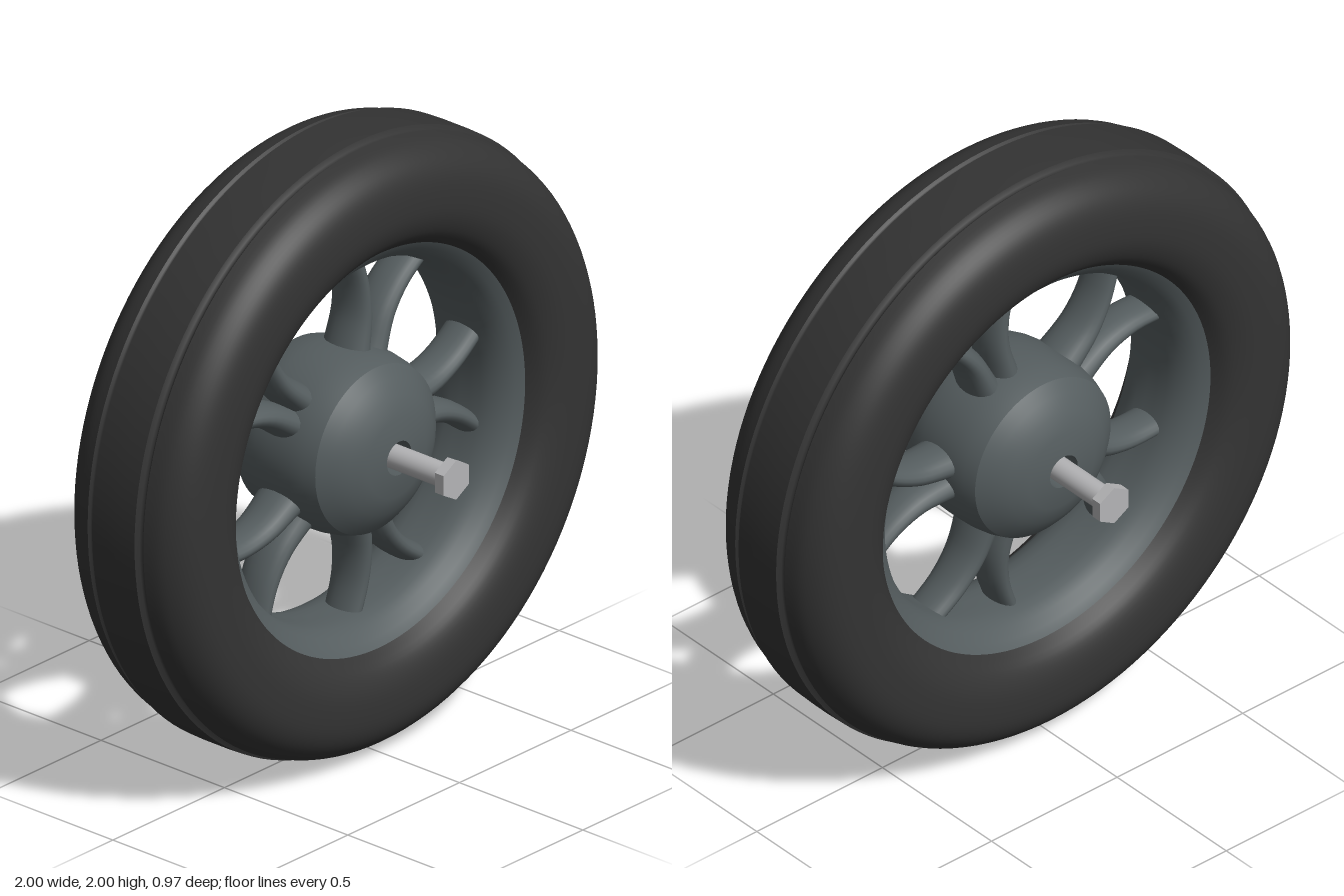
import * as THREE from 'three';
import { mergeVertices } from 'three/addons/utils/BufferGeometryUtils.js';

const rubber = new THREE.MeshStandardMaterial({ color: 0x333333 });
rubber.name = 'black rubber';
const iron = new THREE.MeshStandardMaterial({ color: 0x555d5f });
iron.name = 'dark grey metal';
const steel = new THREE.MeshStandardMaterial({ color: 0xb4b4b6 });
steel.name = 'light steel';

const pts = (list) => list.map(([r, z]) => new THREE.Vector2(r, z));

// Half profile (axis z > 0, listed from z = 0 outward) mirrored to a full one
function mirrored(half) {
  const back = half.map(([r, z]) => [r, -z]).reverse();
  return [...back, ...half];
}

// Turns a [radius, z] profile around the z axis; repeated points make creases
function turned(name, profile, material, segments = 96) {
  const geometry = new THREE.LatheGeometry(pts(profile), segments).rotateX(Math.PI / 2);
  const mesh = new THREE.Mesh(geometry, material);
  mesh.name = name;
  return mesh;
}

// Curved spoke with an oval section, flaring towards the hub
function spokeGeometry() {
  const path = new THREE.SplineCurve(
    pts([[0.03, 0.2], [0.049, 0.28], [0.071, 0.39], [0.062, 0.5], [0.025, 0.61]]));
  const geometry = new THREE.CylinderGeometry(1, 1, 1, 20, 16, true);
  const pos = geometry.attributes.position;
  for (let i = 0; i < pos.count; i++) {
    const t = pos.getY(i) + 0.5;
    const p = path.getPoint(t);
    const d = path.getTangent(t);
    const flare = (1 - t) ** 2;
    const side = pos.getX(i) * (0.033 + 0.03 * flare);
    const depth = pos.getZ(i) * (0.068 + 0.03 * flare);
    pos.setXYZ(i, p.x + d.y * side, p.y - d.x * side, depth);
  }
  geometry.deleteAttribute('uv');
  geometry.deleteAttribute('normal');
  const smooth = mergeVertices(geometry, 1e-5);
  smooth.computeVertexNormals();
  return smooth;
}

export function createModel() {
  const model = new THREE.Group();
  model.name = 'wheel';
  const wheel = new THREE.Group();
  wheel.name = 'wheelAssembly';
  wheel.position.y = 1;
  model.add(wheel);

  // Tyre: crowned tread, two grooves, rounded shoulders and side walls
  const shoulder = new THREE.SplineCurve(pts([
    [0.988, 0.113], [0.972, 0.168], [0.935, 0.215], [0.885, 0.242], [0.82, 0.25],
    [0.75, 0.245], [0.69, 0.218], [0.65, 0.17],
  ])).getPoints(28).map((p) => [p.x, p.y]);
  const tread = [
    [1, 0.03], [0.998, 0.086], [0.998, 0.086], [0.983, 0.093], [0.978, 0.1],
    [0.981, 0.107], [0.988, 0.113],
  ];
  wheel.add(turned('tyre', mirrored([...tread, ...shoulder]), rubber, 128));

  // Rim: inward bulging band closing the inside of the tyre
  const rimHalf = [
    [0.58, 0.02], [0.581, 0.06], [0.588, 0.095], [0.604, 0.13], [0.628, 0.158], [0.655, 0.176],
  ];
  wheel.add(turned('rim', mirrored(rimHalf).reverse(), iron, 128));

  // Hub: slightly tapered drum with domed caps and axle holes
  const hubHalf = [
    [0.293, 0.02], [0.291, 0.07], [0.283, 0.12], [0.27, 0.16], [0.27, 0.16],
    [0.235, 0.192], [0.19, 0.223], [0.13, 0.248], [0.055, 0.256], [0.055, 0.256],
    [0.055, 0.16], [0.055, 0.16], [0.02, 0.16],
  ];
  wheel.add(turned('hub', mirrored(hubHalf), iron));

  // Spokes: five one way, five flipped over
  const spoke = spokeGeometry();
  for (const flip of [0, Math.PI]) {
    const set = new THREE.Group();
    set.name = flip ? 'flippedSpokes' : 'spokes';
    set.rotation.x = flip;
    for (let i = 0; i < 5; i++) {
      const mesh = new THREE.Mesh(spoke, iron);
      mesh.name = 'spoke';
      mesh.rotation.z = (i * Math.PI * 2) / 5;
      set.add(mesh);
    }
    wheel.add(set);
  }

  // Axle with a hexagonal head at each end
  const axle = new THREE.Mesh(
    new THREE.CylinderGeometry(0.038, 0.038, 0.92, 32).rotateX(Math.PI / 2), steel);
  axle.name = 'axle';
  wheel.add(axle);
  const hex = new THREE.CylinderGeometry(0.065, 0.065, 0.036, 6).rotateX(Math.PI / 2).toNonIndexed();
  hex.computeVertexNormals();
  for (const side of [1, -1]) {
    const head = new THREE.Mesh(hex, steel);
    head.name = side > 0 ? 'frontBoltHead' : 'backBoltHead';
    head.position.z = side * 0.469;
    wheel.add(head);
  }
  return model;
}
